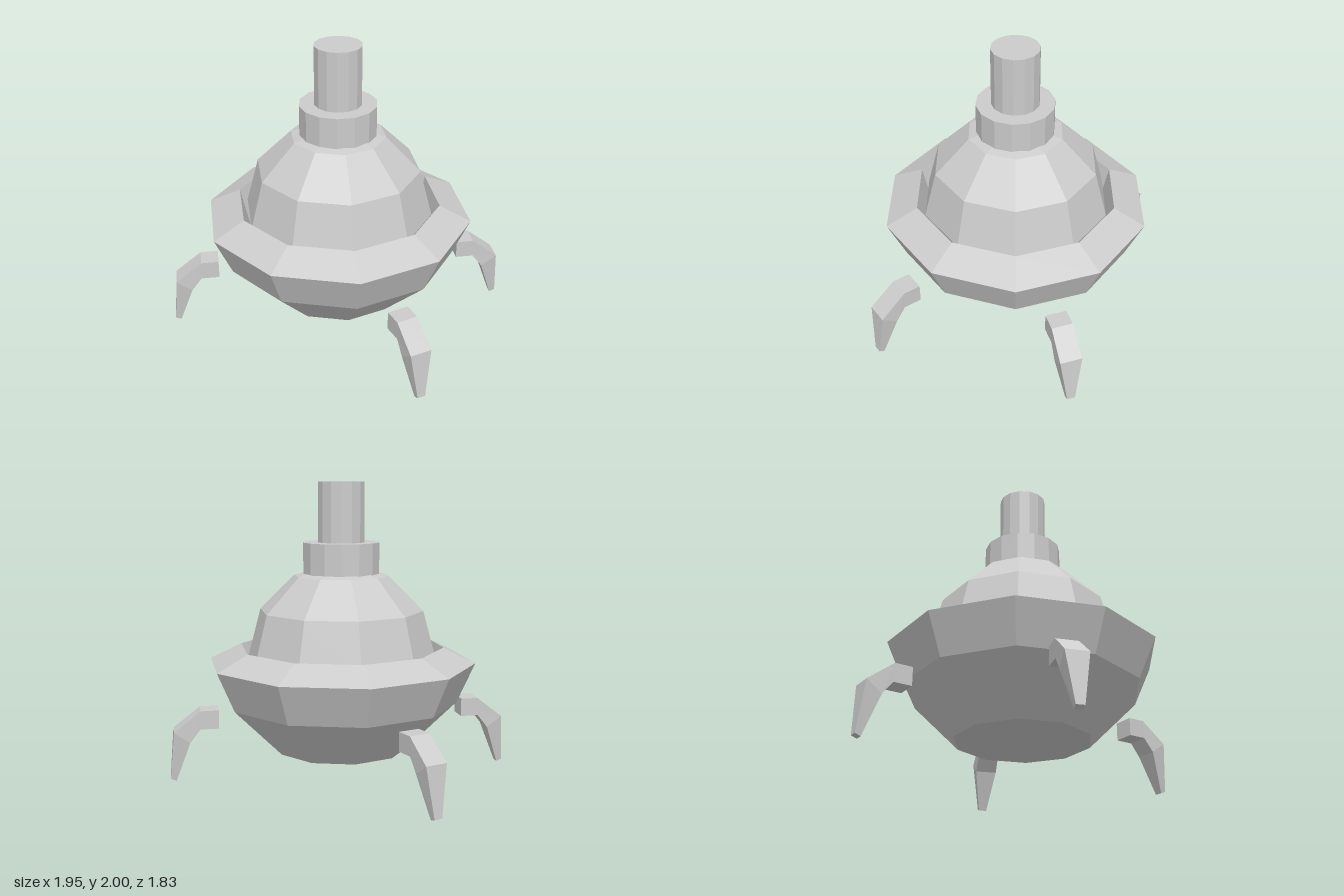
import * as THREE from 'three';

const material = new THREE.MeshStandardMaterial({ color: 0xcccccc, flatShading: true });

function addMesh(parent, name, geometry, y = 0) {
  const mesh = new THREE.Mesh(geometry, material);
  mesh.name = name;
  mesh.position.y = y;
  parent.add(mesh);
  return mesh;
}

// Ten-sided turned body from [radius, height] pairs, listed bottom to top
function turned(profile) {
  return new THREE.LatheGeometry(profile.map(([r, y]) => new THREE.Vector2(r, y)), 10);
}

// Bent, tapering leg lofted outward along +x through four-cornered sections
function legGeometry() {
  // [top x, top y, bottom x, bottom y, width]
  const sections = [
    [0.85, 0.485, 0.85, 0.36, 0.145],
    [0.97, 0.485, 0.975, 0.36, 0.145],
    [1.15, 0.345, 1.045, 0.27, 0.15],
    [1.178, 0.015, 1.14, 0.0, 0.055],
  ].map(([tx, ty, bx, by, w]) => [
    [tx, ty, w / 2], [tx, ty, -w / 2], [bx, by, -w / 2], [bx, by, w / 2],
  ]);
  const positions = [];
  const quad = (a, b, c, d) => positions.push(...a, ...b, ...c, ...a, ...c, ...d);

  for (let i = 0; i < sections.length - 1; i++) {
    for (let k = 0; k < 4; k++) {
      const n = (k + 1) % 4;
      quad(sections[i][k], sections[i + 1][k], sections[i + 1][n], sections[i][n]);
    }
  }
  quad(...sections[0]);
  quad(...[...sections[sections.length - 1]].reverse());

  const geometry = new THREE.BufferGeometry();
  geometry.setAttribute('position', new THREE.Float32BufferAttribute(positions, 3));
  geometry.computeVertexNormals();
  return geometry;
}

export function createModel() {
  const model = new THREE.Group();
  model.name = 'leggedPod';

  // Faceted bowl with a sloping rim and a narrow trough inside it
  addMesh(model, 'bowl', turned([
    [0, 0.055], [0.46, 0.175], [0.797, 0.51], [0.917, 0.78],
    [0.7, 0.885], [0.62, 0.55], [0, 0.55],
  ]));

  // Round dome nested in the bowl
  const dome = [];
  for (let i = 0; i <= 6; i++) {
    const a = (i / 6) * Math.PI;
    dome.push([0.647 * Math.sin(a), 0.81 - 0.647 * Math.cos(a)]);
  }
  addMesh(model, 'dome', turned(dome));

  // Collar and pipe on top
  addMesh(model, 'collar', new THREE.CylinderGeometry(0.262, 0.262, 0.235, 14), 1.4775);
  addMesh(model, 'pipe', new THREE.CylinderGeometry(0.16, 0.16, 0.42, 14), 1.79);

  // Four legs, set in line with the bowl's facets
  const leg = legGeometry();
  const spread = Math.PI / 5;
  const legs = {
    backLeftLeg: spread,
    frontLeftLeg: -spread,
    backRightLeg: Math.PI - spread,
    frontRightLeg: Math.PI + spread,
  };
  for (const [name, angle] of Object.entries(legs)) {
    addMesh(model, name, leg).rotation.y = angle;
  }

  return model;
}
